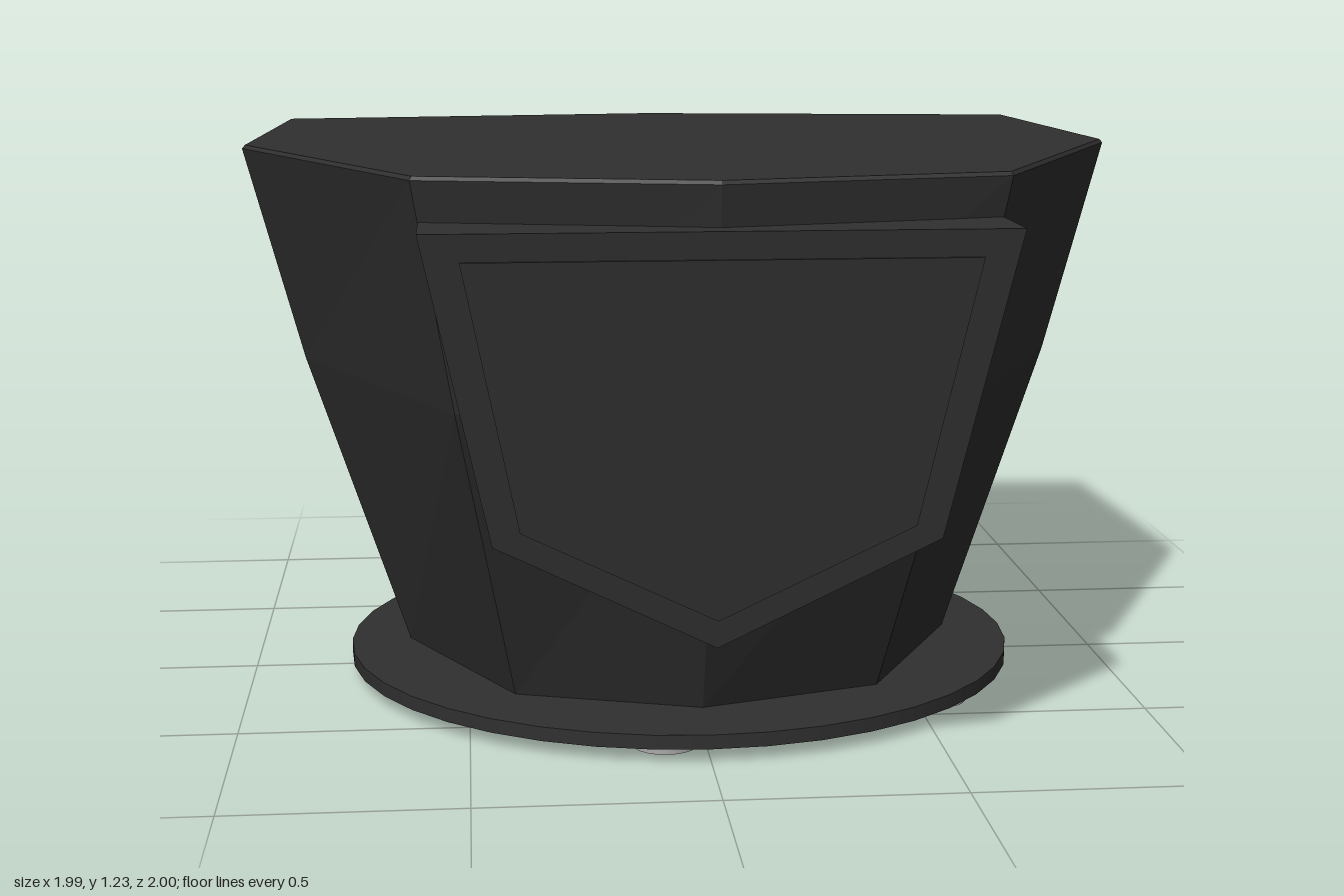
import * as THREE from 'three';

const darkPlastic = new THREE.MeshStandardMaterial({ color: 0x303030 });
darkPlastic.name = 'darkPlastic';
const greyMetal = new THREE.MeshStandardMaterial({ color: 0xaaaaaa });
greyMetal.name = 'greyMetal';

function addMesh(parent, name, geometry, material) {
  const mesh = new THREE.Mesh(geometry, material);
  mesh.name = name;
  parent.add(mesh);
  return mesh;
}

// Joins equal-length loops (counter-clockwise seen from the end of the stack) and caps both ends
function loft(loops) {
  const out = [];
  const n = loops[0].length;
  const tri = (a, b, c) => out.push(...a, ...b, ...c);
  for (let r = 0; r < loops.length - 1; r++) {
    for (let i = 0; i < n; i++) {
      const j = (i + 1) % n;
      const lo = loops[r], hi = loops[r + 1];
      tri(lo[i], lo[j], hi[j]);
      tri(lo[i], hi[j], hi[i]);
    }
  }
  const first = loops[0], last = loops[loops.length - 1];
  for (let i = 1; i < n - 1; i++) {
    tri(first[0], first[i + 1], first[i]);
    tri(last[0], last[i], last[i + 1]);
  }
  const geometry = new THREE.BufferGeometry();
  geometry.setAttribute('position', new THREE.Float32BufferAttribute(out, 3));
  geometry.computeVertexNormals();
  return geometry;
}

// Eight-sided body outline at one height, mirrored left to right
function bodyLoop(y, frontZ, cornerX, cornerZ, sideX, backX, scale = 1) {
  const half = [[cornerX, cornerZ], [sideX, 0], [backX, -0.86]];
  const outline = [[0, frontZ], ...half, [0, -1],
    ...half.slice().reverse().map(([x, z]) => [-x, z])];
  return outline.map(([x, z]) => [x * scale, y, z * scale]);
}

// Five-sided shield whose front leans back towards the bottom
function shield(topX, topY, sideX, sideY, tipY, lift, backZ) {
  const outline = [[0, tipY], [sideX, sideY], [topX, topY], [-topX, topY], [-sideX, sideY]];
  const front = outline.map(([x, y]) => [x, y, 0.995 + lift - (1.14 - y) * 0.125]);
  const back = outline.map(([x, y], i) => [x, y, backZ ?? front[i][2] - 0.015]);
  return loft([back, front]);
}

function disc(parent, name, radius, bottom, top, material, x = 0, z = 0, sides = 40) {
  const mesh = addMesh(parent, name,
    new THREE.CylinderGeometry(radius, radius, top - bottom, sides), material);
  mesh.position.set(x, (top + bottom) / 2, z);
}

export function createModel() {
  const model = new THREE.Group();
  model.name = 'facetedHousing';

  // Body: narrow bottom, kinked middle, wide top with a fine softened rim
  addMesh(model, 'body', loft([
    bodyLoop(0.056, 0.585, 0.4, 0.46, 0.635, 0.595, 0.995),
    bodyLoop(0.063, 0.59, 0.4, 0.46, 0.638, 0.597),
    bodyLoop(0.74, 0.86, 0.52, 0.72, 0.865, 0.825),
    bodyLoop(1.224, 0.945, 0.6, 0.805, 0.995, 0.95),
    bodyLoop(1.232, 0.945, 0.6, 0.805, 0.995, 0.95, 0.993),
  ]), darkPlastic);

  // Front shield with a slightly raised inner plate
  addMesh(model, 'frontShield', shield(0.585, 1.14, 0.45, 0.51, 0.285, 0, 0.55), darkPlastic);
  addMesh(model, 'shieldPlate', shield(0.505, 1.085, 0.395, 0.54, 0.345, 0.008), darkPlastic);

  // Mounting base
  const base = new THREE.Group();
  base.name = 'base';
  model.add(base);
  disc(base, 'baseFlange', 0.775, 0.033, 0.064, darkPlastic);
  disc(base, 'baseInnerDisc', 0.57, 0.022, 0.04, darkPlastic);
  disc(base, 'centreHub', 0.18, 0.004, 0.03, greyMetal);

  // Ring of six bolts
  for (let i = 0; i < 6; i++) {
    const angle = THREE.MathUtils.degToRad(i * 60 - 7.5);
    disc(base, 'bolt', 0.07, 0.013, 0.04, greyMetal,
      0.68 * Math.sin(angle), 0.68 * Math.cos(angle), 20);
  }
  return model;
}
